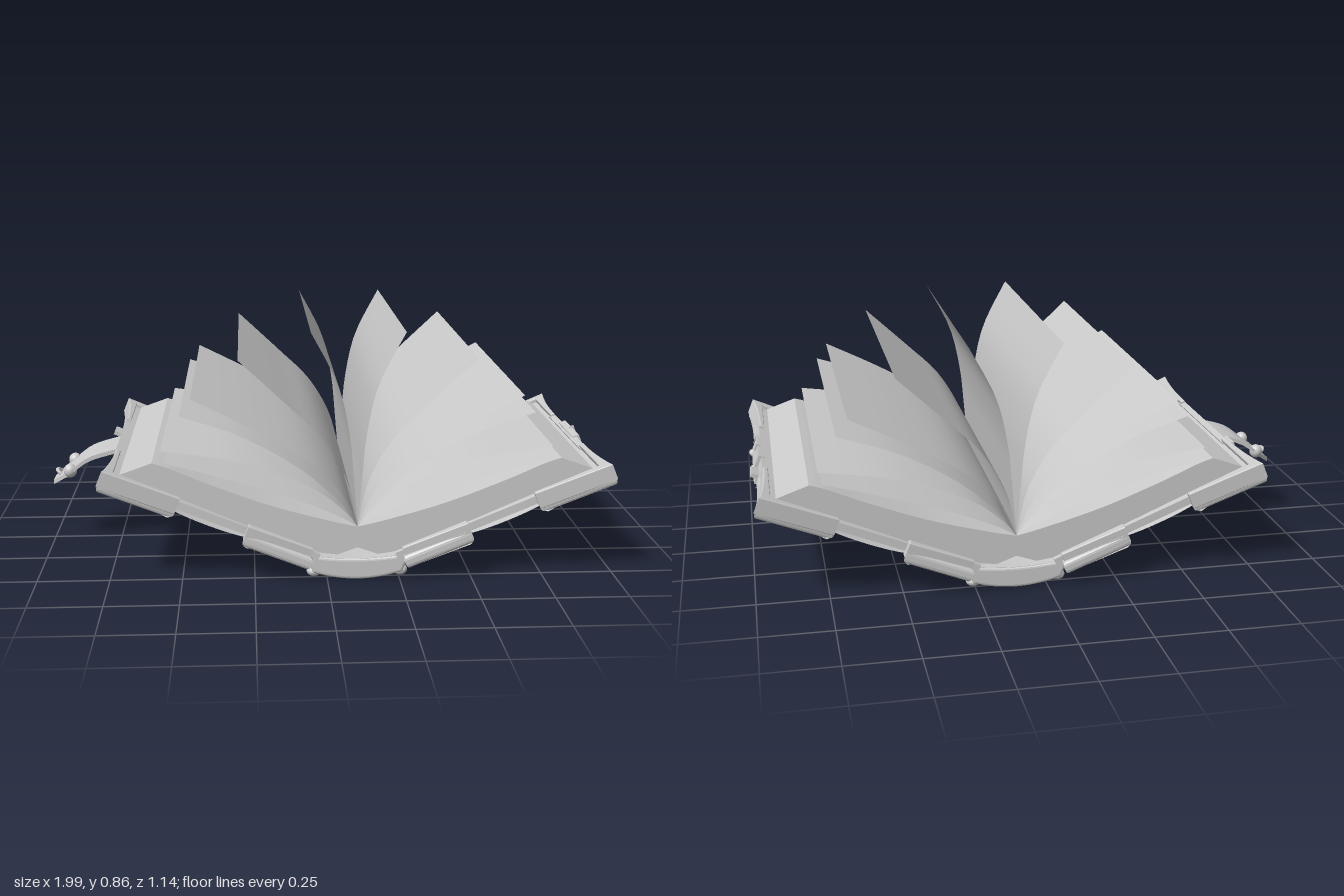
import * as THREE from 'three';

const mat = new THREE.MeshStandardMaterial({ color: 0xcccccc, side: THREE.DoubleSide });
const V2 = (x, y) => new THREE.Vector2(x, y);
const HALF = 0.515; // half length of the pages along z

function add(parent, name, geo, x = 0, y = 0, z = 0) {
  const m = new THREE.Mesh(geo, mat);
  m.name = name;
  m.position.set(x, y, z);
  parent.add(m);
  return m;
}

function box(parent, name, x0, x1, y0, y1, z0, z1) {
  return add(parent, name, new THREE.BoxGeometry(x1 - x0, y1 - y0, z1 - z0),
    (x0 + x1) / 2, (y0 + y1) / 2, (z0 + z1) / 2);
}

function dome(parent, name, x, y, z, rx, ry, rz, phi = 0, arc = Math.PI * 2) {
  const m = add(parent, name, new THREE.SphereGeometry(1, 24, 14, phi, arc), x, y, z);
  m.scale.set(rx, ry, rz);
  return m;
}

// Profile in x,y extruded along z between z0 and z1
function along(parent, name, shape, z0, z1, bevel = 0) {
  const geo = new THREE.ExtrudeGeometry(shape, {
    depth: z1 - z0 - 2 * bevel, curveSegments: 16,
    bevelEnabled: bevel > 0, bevelSize: bevel, bevelOffset: -bevel, bevelThickness: bevel, bevelSegments: 3,
  });
  return add(parent, name, geo, 0, 0, z0 + bevel);
}

// Plan in x,z extruded from height y0 up to y1
function slab(parent, name, shape, y0, y1, bevel) {
  const m = along(new THREE.Group(), name, shape, 0, y1 - y0, bevel);
  m.rotation.x = Math.PI / 2;
  m.position.set(0, y1 - bevel, 0);
  parent.add(m);
  return m;
}

// Flattened tube along an ellipse in the cover plane
function ellipseTube(parent, name, cx, cz, rx, rz, a0, a1, r) {
  const pts = [];
  for (let i = 0; i <= 32; i++) {
    const a = a0 + (a1 - a0) * i / 32;
    pts.push(new THREE.Vector3(cx + rx * Math.cos(a), 0, cz + rz * Math.sin(a)));
  }
  const m = add(parent, name, new THREE.TubeGeometry(new THREE.CatmullRomCurve3(pts), 48, r, 8), 0, 0.03, 0);
  m.scale.y = 0.8;
}

// Metal corner: curved plate below and a rim around the edge
function corners(cover, k) {
  const outer = new THREE.Shape();
  outer.moveTo(0.775, 0.57 * k);
  outer.lineTo(0.5, 0.545 * k);
  outer.quadraticCurveTo(0.61, 0.5 * k, 0.62, 0.44 * k);
  outer.quadraticCurveTo(0.66, 0.33 * k, 0.76, 0.23 * k);
  outer.quadraticCurveTo(0.757, 0.42 * k, 0.775, 0.57 * k);
  slab(cover, 'outerCornerPlate', outer, -0.002, 0.045, 0.015);
  const rim = new THREE.Shape();
  rim.moveTo(0.78, 0.57 * k);
  rim.lineTo(0.5, 0.55 * k);
  rim.lineTo(0.5, 0.53 * k);
  rim.lineTo(0.74, 0.53 * k);
  rim.lineTo(0.74, 0.24 * k);
  rim.lineTo(0.757, 0.24 * k);
  rim.quadraticCurveTo(0.757, 0.42 * k, 0.78, 0.57 * k);
  slab(cover, 'outerCornerRim', rim, 0.015, 0.076, 0.004);
  const inner = new THREE.Shape();
  inner.moveTo(0, 0.565 * k);
  inner.lineTo(0.25, 0.565 * k);
  inner.quadraticCurveTo(0.2, 0.5 * k, 0.14, 0.47 * k);
  inner.quadraticCurveTo(0.1, 0.33 * k, 0.02, 0.27 * k);
  inner.lineTo(0, 0.3 * k);
  slab(cover, 'innerCornerPlate', inner, -0.002, 0.045, 0.015);
  const lip = new THREE.Shape([V2(0.01, 0.53 * k), V2(0.25, 0.53 * k), V2(0.25, 0.565 * k), V2(0.01, 0.55 * k)]);
  slab(cover, 'innerCornerRim', lip, 0.015, 0.073, 0.004);
  dome(cover, 'cornerStud', 0.7, 0, 0.48 * k, 0.03, 0.016, 0.03);
  dome(cover, 'cornerStud', 0.07, 0, 0.48 * k, 0.03, 0.016, 0.03);
}

// One cover; x runs outward from the hinge, y = 0 is the underside
function makeCover(side) {
  const pivot = new THREE.Group();
  pivot.name = side > 0 ? 'leftCover' : 'rightCover';
  pivot.rotation.y = side > 0 ? 0 : Math.PI;
  const cover = new THREE.Group();
  cover.name = 'coverParts';
  cover.position.set(0.17, 0.05, 0);
  cover.rotation.z = 0.388;
  pivot.add(cover);
  box(cover, 'board', -0.02, 0.75, 0.032, 0.06, -0.535, 0.535);
  box(cover, 'edgeMoulding', 0.735, 0.758, 0.022, 0.066, -0.26, 0.26);

  // Raised oval in the middle and half ovals at both ends
  ellipseTube(cover, 'ovalFrame', 0.38, 0, 0.3, 0.27, 0, Math.PI * 2, 0.022);
  ellipseTube(cover, 'ovalInnerFrame', 0.38, 0, 0.25, 0.22, 0, Math.PI * 2, 0.012);
  dome(cover, 'ovalPanel', 0.38, 0.035, 0, 0.22, 0.018, 0.19);
  for (const k of [1, -1]) {
    const start = k > 0 ? Math.PI : 0;
    ellipseTube(cover, 'endFrame', 0.38, 0.53 * k, 0.26, 0.23, start, start + Math.PI, 0.024);
    ellipseTube(cover, 'endInnerFrame', 0.38, 0.53 * k, 0.19, 0.17, start, start + Math.PI, 0.014);
    dome(cover, 'endPanel', 0.38, 0.035, 0.53 * k, 0.17, 0.02, 0.15, k > 0 ? Math.PI : 0, Math.PI);
    corners(cover, k);
    for (const s of [0.22, 0.57]) dome(cover, 'scrollBump', s, 0.034, 0.33 * k, 0.06, 0.018, 0.07);
  }
  // Straps of uneven length
  [[0.18, 0.63], [0, 0.69], [-0.18, 0.765]].forEach(([z, end]) => {
    const zc = z * side;
    box(cover, 'strap', 0.0, end, 0, 0.034, zc - 0.042, zc + 0.042);
  });
  const hook = -0.185 * side;
  box(cover, 'strapHook', 0.735, 0.785, 0.02, 0.034, hook - 0.04, hook + 0.04);
  return { pivot, cover };
}

// Domed face on the underside of one cover
function addEmblem(cover) {
  const e = new THREE.Group();
  e.name = 'faceEmblem';
  cover.add(e);
  dome(e, 'emblemHead', 0.4, 0.02, 0, 0.17, 0.055, 0.15);
  dome(e, 'emblemNose', 0.36, -0.025, 0, 0.06, 0.03, 0.025);
  dome(e, 'emblemJaw', 0.24, 0.01, 0, 0.07, 0.035, 0.1);
  for (const k of [1, -1]) {
    const eye = add(e, 'emblemEyeRing', new THREE.TorusGeometry(0.04, 0.013, 8, 20), 0.42, -0.02, 0.065 * k);
    eye.rotation.set(Math.PI / 2 + 0.3 * k, 0, 0);
    const brow = dome(e, 'emblemBrow', 0.48, -0.015, 0.06 * k, 0.022, 0.022, 0.07);
    brow.rotation.y = 0.35 * k;
    dome(e, 'emblemCheek', 0.31, -0.005, 0.08 * k, 0.05, 0.025, 0.035);
  }
}

// Sheet swept along z from a curved profile
function page(parent, pts) {
  const curve = new THREE.SplineCurve(pts.map(p => V2(...p)));
  const N = 14, geo = new THREE.PlaneGeometry(1, 2 * HALF, N, 1);
  const p = geo.attributes.position;
  for (let i = 0; i < p.count; i++) {
    const q = curve.getPoint(p.getX(i) + 0.5);
    p.setXYZ(i, q.x, q.y, -p.getY(i));
  }
  geo.computeVertexNormals();
  add(parent, 'page', geo);
}

function spineShape(drop) {
  const s = new THREE.Shape();
  s.moveTo(-0.18, 0.095);
  s.lineTo(-0.155, 0.03 + drop);
  s.quadraticCurveTo(0, -0.02 + drop, 0.155, 0.03 + drop);
  s.lineTo(0.18, 0.095);
  s.quadraticCurveTo(0, 0.065, -0.18, 0.095);
  return s;
}

export function createModel() {
  const model = new THREE.Group();
  model.name = 'openBook';
  const book = new THREE.Group();
  book.name = 'book';
  book.position.x = 0.105;
  model.add(book);

  // Spine with raised bands
  along(book, 'spine', spineShape(0.025), -0.53, 0.53);
  for (const [z0, z1] of [[-0.535, -0.32], [-0.225, -0.135], [-0.045, 0.045], [0.135, 0.225], [0.32, 0.535]])
    along(book, 'spineBand', spineShape(0), z0, z1, 0.01);
  for (const x of [-0.15, 0.15]) for (const z of [-0.49, 0.49])
    dome(book, 'spineStud', x, 0.026, z, 0.026, 0.02, 0.03);

  // Covers
  const left = makeCover(1), right = makeCover(-1);
  book.add(left.pivot, right.pivot);
  addEmblem(right.cover);

  // Catch plate on the edge opposite the clasp
  box(left.cover, 'catchPlate', 0.745, 0.77, 0.012, 0.07, -0.115, 0.115);
  for (const z of [-0.09, 0.09]) dome(left.cover, 'catchStud', 0.76, 0.01, z, 0.02, 0.014, 0.022);
  box(left.cover, 'catchPin', 0.76, 0.778, 0.05, 0.075, -0.004, 0.004);

  // Page blocks and loose pages, mirrored about the spine
  const fans = [
    [[0, 0.19], [0.014, 0.36], [0.03, 0.52], [0.07, 0.69], [0.16, 0.866]],
    [[0, 0.19], [0.035, 0.35], [0.12, 0.5], [0.24, 0.62], [0.405, 0.775]],
    [[0, 0.19], [0.05, 0.3], [0.17, 0.425], [0.36, 0.54], [0.566, 0.645]],
    [[0, 0.19], [0.06, 0.275], [0.2, 0.4], [0.4, 0.515], [0.605, 0.586]],
    [[0, 0.19], [0.05, 0.25], [0.17, 0.337], [0.41, 0.425], [0.67, 0.467]],
    [[0, 0.19], [0.06, 0.225], [0.2, 0.285], [0.43, 0.36], [0.66, 0.425]],
  ];
  for (const k of [1, -1]) {
    const b = new THREE.Shape();
    b.moveTo(0, 0.115);
    b.lineTo(0, 0.19);
    b.splineThru([V2(0.1 * k, 0.213), V2(0.3 * k, 0.27), V2(0.5 * k, 0.345), V2(0.64 * k, 0.405), V2(0.7 * k, 0.425)]);
    b.lineTo(0.81 * k, 0.386);
    b.lineTo(0.147 * k, 0.1);
    b.lineTo(0.07 * k, 0.09);
    along(book, 'pageBlock', b, -HALF, HALF);
    fans.forEach(f => page(book, f.map(([x, y]) => [x * k, y])));
  }

  // Clasp strap bending down from the cover edge
  const path = new THREE.SplineCurve([V2(-0.82, 0.37), V2(-0.95, 0.335), V2(-1.025, 0.285), V2(-1.1, 0.228)]);
  const geo = new THREE.BoxGeometry(1, 0.016, 1, 16, 1, 2), p = geo.attributes.position;
  for (let i = 0; i < p.count; i++) {
    const t = p.getX(i) + 0.5, q = path.getPoint(t);
    const w = t < 0.7 ? 0.1 : 0.1 - 0.07 * (t - 0.7) / 0.3;
    p.setXYZ(i, q.x, q.y + p.getY(i), p.getZ(i) * 2 * w);
  }
  geo.computeVertexNormals();
  add(book, 'claspStrap', geo);
  for (const z of [-0.08, 0.08]) dome(book, 'claspStud', -1.03, 0.285, z, 0.024, 0.026, 0.024);
  const ring = add(book, 'claspLoop', new THREE.TorusGeometry(0.022, 0.007, 8, 18), -1.07, 0.256, 0);
  ring.rotation.set(Math.PI / 2, -0.65, 0);
  return model;
}
